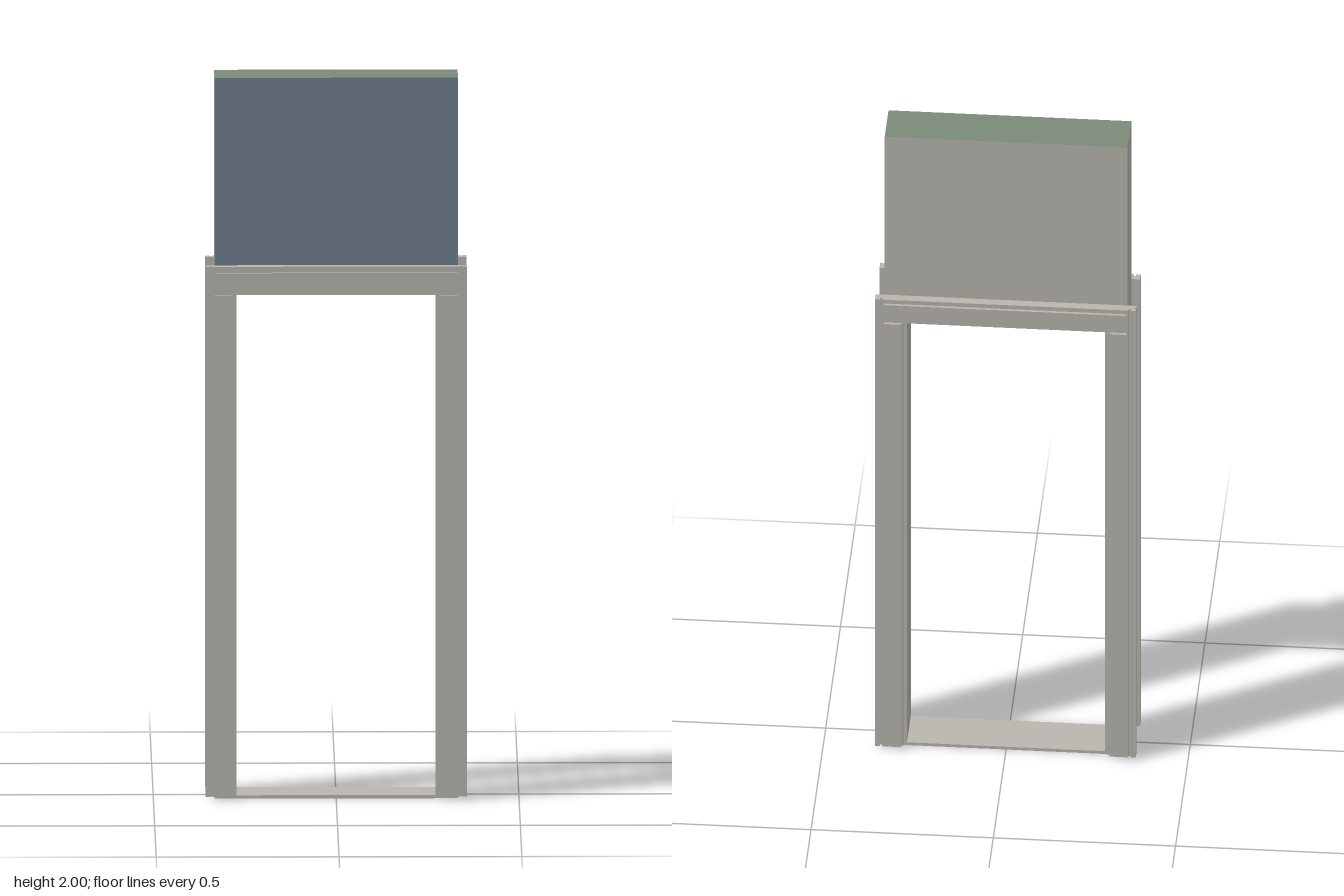
import * as THREE from 'three';

const paint = (name, color) => {
  const m = new THREE.MeshStandardMaterial({ color });
  m.name = name;
  return m;
};

const HALF_W = 0.333, DEPTH = 0.065, OPEN_W = 0.272, OPEN_TOP = 1.4;
const FACE = 0.09, SILL = 0.009, TRIM_TOP = 1.48, TRIM_W = 0.358;

export function createModel() {
  const grey = paint('warm grey', 0xb8b6ae);
  const blue = paint('slate blue', 0x708090);
  const green = paint('sage green', 0x7b8b78);
  const model = new THREE.Group();

  const add = (parent, name, geometry, material = grey) => {
    const mesh = new THREE.Mesh(geometry, material);
    mesh.name = name;
    parent.add(mesh);
    return mesh;
  };
  const box = (parent, name, x0, x1, y0, y1, z0, z1, material) =>
    add(parent, name, new THREE.BoxGeometry(x1 - x0, y1 - y0, z1 - z0), material)
      .position.set((x0 + x1) / 2, (y0 + y1) / 2, (z0 + z1) / 2);
  const extrude = (points, depth) => new THREE.ExtrudeGeometry(
    new THREE.Shape(points.map(([x, y]) => new THREE.Vector2(x, y))),
    { depth, bevelEnabled: false });

  // Wall panel over the opening: +x, -x, top, bottom, front, back
  box(model, 'wallPanel', -HALF_W, HALF_W, OPEN_TOP, 2, -DEPTH, DEPTH,
    [grey, grey, green, grey, blue, grey]);

  // Jambs and sill lining the opening
  box(model, 'leftJamb', OPEN_W, HALF_W, 0, OPEN_TOP, -DEPTH, DEPTH);
  box(model, 'rightJamb', -HALF_W, -OPEN_W, 0, OPEN_TOP, -DEPTH, DEPTH);
  box(model, 'sill', -OPEN_W, OPEN_W, 0, SILL, -DEPTH, DEPTH);

  // Casing profiles as [across, z], with narrow grooves in the face
  const groove = (a, w) => [[a, FACE], [a, FACE - 0.008], [a + w, FACE - 0.008], [a + w, FACE]];
  const legProfile = [[0.28, DEPTH], ...groove(0.28, 0.006).slice(1),
    [HALF_W, FACE], [HALF_W, DEPTH]];
  const stripProfile = [[HALF_W, DEPTH], [HALF_W, FACE], ...groove(0.338, 0.006),
    [TRIM_W, FACE], [TRIM_W, 0.081], [TRIM_W - 0.003, 0.0775], [TRIM_W, 0.074], [TRIM_W, DEPTH]];
  const headProfile = [[OPEN_TOP, DEPTH], [OPEN_TOP, FACE - 0.008], [1.407, FACE - 0.008],
    [1.407, FACE], ...groove(1.462, 0.006), [TRIM_TOP, FACE], [TRIM_TOP, DEPTH]];

  // The same casing on both faces of the wall
  for (const [side, turn] of [['front', 0], ['back', Math.PI]]) {
    const casing = new THREE.Group();
    casing.name = side + 'Casing';
    casing.rotation.y = turn;
    for (const s of [1, -1]) {
      const upright = (name, profile, top) => {
        const g = extrude(profile.map(([x, z]) => [s * x, -z]), top - SILL);
        g.rotateX(-Math.PI / 2).translate(0, SILL, 0);
        add(casing, name, g);
      };
      upright('casingLeg', legProfile, OPEN_TOP);
      upright('casingOuterStrip', stripProfile, TRIM_TOP);
    }
    const head = extrude(headProfile.map(([y, z]) => [-z, y]), 2 * HALF_W);
    head.rotateY(Math.PI / 2).translate(-HALF_W, 0, 0);
    add(casing, 'casingHead', head);
    model.add(casing);
  }
  return model;
}
